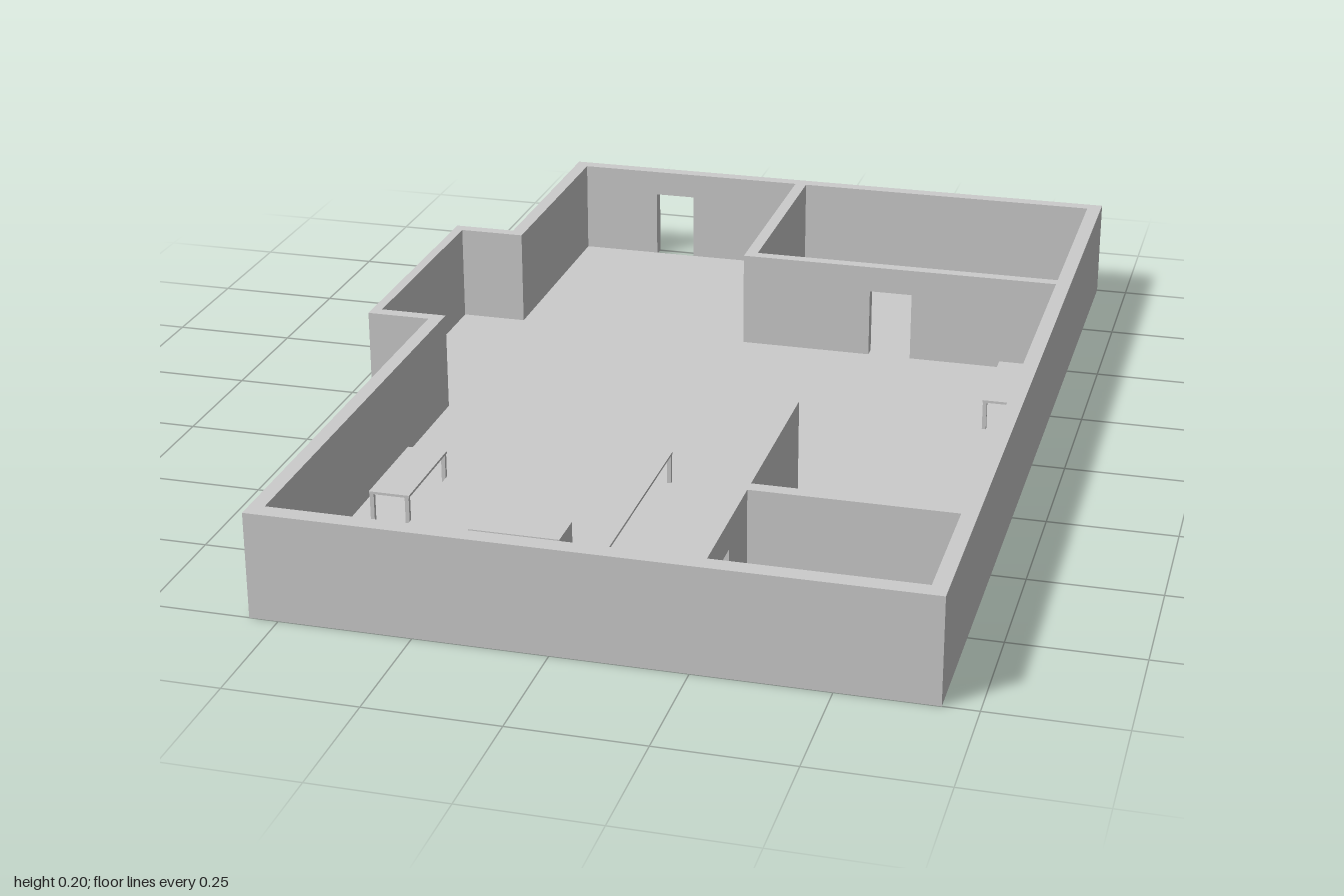
import * as THREE from 'three';

const H = 0.205, DOOR = 0.15, DESK = 0.068;
const mat = new THREE.MeshStandardMaterial({ color: 0xcccccc, flatShading: true });

export function createModel() {
  const model = new THREE.Group();

  const add = (name, geometry, parent = model) => {
    const mesh = new THREE.Mesh(geometry, mat);
    mesh.name = name;
    parent.add(mesh);
    return mesh;
  };

  // Solid box given by its limits
  const block = (name, x0, x1, y0, y1, z0, z1, parent) =>
    add(name, new THREE.BoxGeometry(x1 - x0, y1 - y0, z1 - z0), parent)
      .position.set((x0 + x1) / 2, (y0 + y1) / 2, (z0 + z1) / 2);

  // Plan outline [x, z] raised from y0 by a thickness
  const slab = (name, pts, y0, thick, parent, hole) => {
    const toV = p => new THREE.Vector2(p[0], -p[1]);
    const shape = new THREE.Shape(pts.map(toV));
    if (hole) shape.holes.push(new THREE.Path(hole.map(toV)));
    const g = new THREE.ExtrudeGeometry(shape, { depth: thick, bevelEnabled: false });
    g.rotateX(-Math.PI / 2).translate(0, y0, 0);
    return add(name, g, parent);
  };
  const rect = (x0, x1, z0, z1) => [[x0, z0], [x1, z0], [x1, z1], [x0, z1]];

  // Wall from a to b along an axis, between c0 and c1 across it, with an optional doorway
  const wall = (name, axis, a, b, c0, c1, door) => {
    const pts = [[a, 0]];
    if (door) pts.push([door[0], 0], [door[0], DOOR], [door[1], DOOR], [door[1], 0]);
    pts.push([b, 0], [b, H], [a, H]);
    const g = new THREE.ExtrudeGeometry(
      new THREE.Shape(pts.map(p => new THREE.Vector2(...p))),
      { depth: c1 - c0, bevelEnabled: false });
    if (axis === 'x') g.translate(0, 0, c0);
    else g.rotateY(-Math.PI / 2).translate(c1, 0, 0);
    add(name, g);
  };

  // Outer walls
  wall('backWall', 'x', -0.555, 0.685, -1, -0.972, [-0.356, -0.267]);
  wall('frontWall', 'x', -0.555, 0.685, 0.965, 1);
  wall('leftWall', 'z', -0.972, 0.965, 0.655, 0.685);
  wall('rightWallBack', 'z', -0.972, -0.475, -0.555, -0.527);
  wall('rightWallFront', 'z', 0.024, 0.965, -0.555, -0.527);
  wall('bayBackWall', 'x', -0.685, -0.555, -0.5, -0.475);
  wall('bayFrontWall', 'x', -0.685, -0.555, 0.024, 0.05);
  wall('bayOuterWall', 'z', -0.475, 0.024, -0.685, -0.665);

  // Partitions
  wall('backRoomSideWall', 'z', -0.972, -0.5, -0.022, 0.003);
  wall('backRoomFrontWall', 'x', -0.022, 0.655, -0.5, -0.475, [0.257, 0.348]);
  wall('frontRoomSideWall', 'z', 0.273, 0.965, 0.252, 0.272, [0.815, 0.91]);
  wall('frontRoomBackWall', 'x', 0.272, 0.655, 0.655, 0.683);

  // Floor
  slab('floor', [
    [-0.527, -0.972], [0.655, -0.972], [0.655, 0.965], [-0.527, 0.965],
    [-0.527, 0.024], [-0.665, 0.024], [-0.665, -0.475], [-0.527, -0.475],
  ], 0.001, 0.003);

  // Table: thin top over an outline, with a slim leg centred at each given point
  const table = (name, outline, feet) => {
    const group = new THREE.Group();
    group.name = name;
    model.add(group);
    slab('tabletop', outline, DESK - 0.005, 0.005, group);
    const r = 0.004;
    for (const [x, z] of feet)
      block('leg', x - r, x + r, 0.004, DESK - 0.005, z - r, z + r, group);
  };
  const inset = 0.005;
  const rectTable = (name, x0, x1, z0, z1) => table(name, rect(x0, x1, z0, z1),
    rect(x0 + inset, x1 - inset, z0 + inset, z1 - inset));

  rectTable('largeTable', -0.365, 0.02, 0.265, 0.72);
  rectTable('rightDesk', -0.485, -0.405, 0.375, 0.587);
  rectTable('leftDesk', 0.56, 0.645, -0.353, -0.14);
  rectTable('frontDesk', -0.246, -0.034, 0.73, 0.815);
  table('cornerCounter',
    [[0.273, 0.443], [0.353, 0.443], [0.353, 0.576], [0.57, 0.576], [0.57, 0.654], [0.273, 0.654]],
    [[0.278, 0.448], [0.348, 0.448], [0.348, 0.581], [0.565, 0.581], [0.565, 0.649], [0.278, 0.649]]);

  // Open box standing on the front desk
  slab('openBox', rect(-0.208, -0.038, 0.735, 0.811), DESK, 0.06, model,
    rect(-0.205, -0.041, 0.738, 0.808));

  return model;
}
